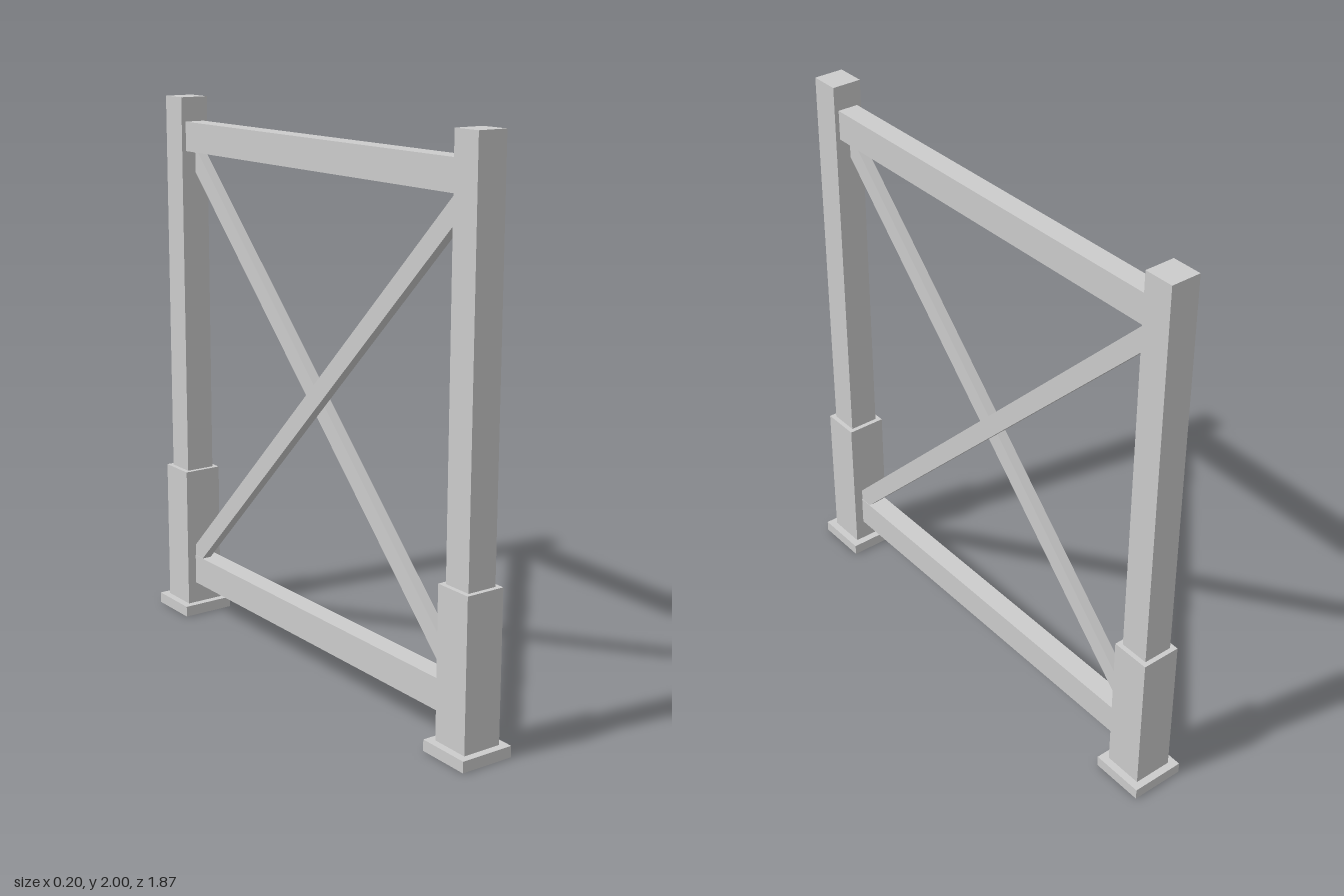
import * as THREE from 'three';

export function createModel() {
  const group = new THREE.Group();
  const material = new THREE.MeshStandardMaterial({ color: 0xcccccc, flatShading: true });
  const postZ = 0.837;

  // Box placed by its centre
  function addBox(name, size, position, parent = group) {
    const mesh = new THREE.Mesh(new THREE.BoxGeometry(...size), material);
    mesh.name = name;
    mesh.position.set(...position);
    parent.add(mesh);
    return mesh;
  }

  // Two posts, each with a thicker lower sleeve and a square foot plate
  for (const side of [1, -1]) {
    const post = new THREE.Group();
    post.name = side > 0 ? 'frontPost' : 'backPost';
    post.position.z = side * postZ;
    addBox('footPlate', [0.2, 0.04, 0.2], [0, 0.02, 0], post);
    addBox('sleeve', [0.145, 0.535, 0.145], [0, 0.3075, 0], post);
    addBox('shaft', [0.11, 1.425, 0.11], [0, 1.2875, 0], post);
    group.add(post);
  }

  // Horizontal beams, let into the posts
  const beamLength = 2 * (postZ - 0.04);
  addBox('topBeam', [0.077, 0.108, beamLength], [0, 1.857, 0]);
  addBox('bottomBeam', [0.077, 0.112, beamLength], [0, 0.177, 0]);

  // Crossed diagonal braces lying side by side
  for (const side of [1, -1]) {
    const brace = addBox(side > 0 ? 'leftBrace' : 'rightBrace',
      [0.036, 0.066, 2.26], [side * 0.019, 0.991, 0]);
    brace.rotation.x = side * Math.atan(0.996);
  }

  return group;
}
